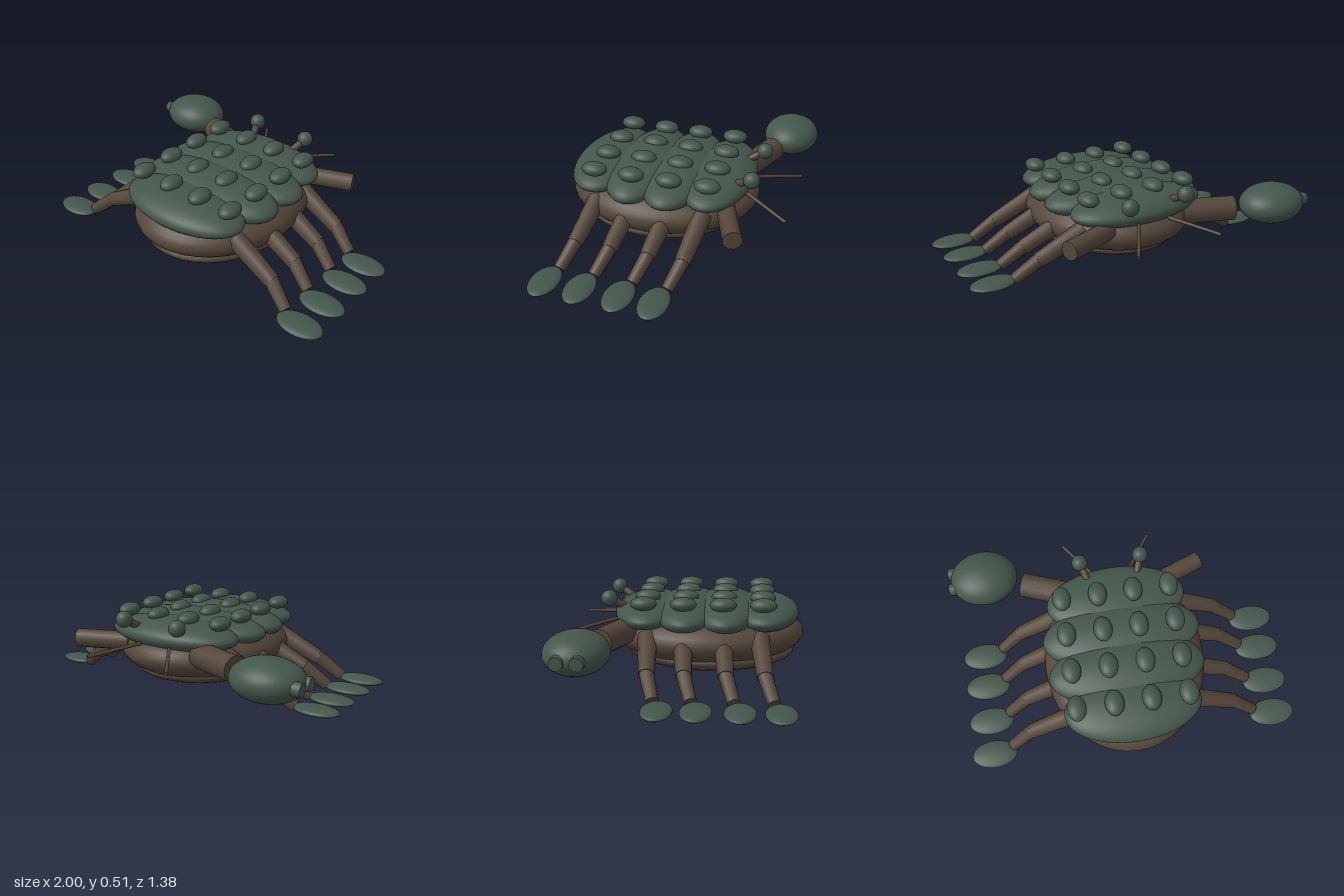
import * as THREE from 'three';

const shellGreen = new THREE.MeshStandardMaterial({ color: 0x44564c });
shellGreen.name = 'shell green';
const bodyBrown = new THREE.MeshStandardMaterial({ color: 0x55463a });
bodyBrown.name = 'body brown';

const ball = new THREE.SphereGeometry(1, 40, 24);
const smallBall = new THREE.SphereGeometry(1, 24, 16);
const UP = new THREE.Vector3(0, 1, 0);

function ellipsoid(name, material, [x, y, z], [rx, ry, rz], geometry = smallBall) {
  const mesh = new THREE.Mesh(geometry, material);
  mesh.name = name;
  mesh.position.set(x, y, z);
  mesh.scale.set(rx, ry, rz);
  return mesh;
}

// Round rod from point a (radius ra) to point b (radius rb)
function rod(name, material, a, b, ra, rb, sides = 12) {
  const start = new THREE.Vector3(...a);
  const end = new THREE.Vector3(...b);
  const dir = end.clone().sub(start);
  const mesh = new THREE.Mesh(new THREE.CylinderGeometry(rb, ra, dir.length(), sides), material);
  mesh.name = name;
  mesh.position.copy(start).add(end).multiplyScalar(0.5);
  mesh.quaternion.setFromUnitVectors(UP, dir.normalize());
  return mesh;
}

export function createModel() {
  const model = new THREE.Group();
  model.name = 'crab';

  // Body and belly
  model.add(ellipsoid('body', bodyBrown, [0, 0.25, 0.115], [0.48, 0.18, 0.575], ball));
  model.add(ellipsoid('belly', bodyBrown, [0, 0.145, 0.137], [0.42, 0.1, 0.5], ball));

  // Four overlapping shell plates, each with a row of bumps
  const plates = [
    [-0.225, 0.42, 0.09], [0, 0.47, 0.1], [0.225, 0.46, 0.105], [0.45, 0.4, 0.09],
  ];
  plates.forEach(([z, rx, ry]) => {
    model.add(ellipsoid('shellPlate', shellGreen, [0, 0.37, z], [rx, ry, 0.21], ball));
    for (const x of [-0.322, -0.107, 0.107, 0.322]) {
      model.add(ellipsoid('shellBump', shellGreen, [x, 0.467, z - 0.008], [0.056, 0.04, 0.076]));
    }
  });

  for (const s of [-1, 1]) {
    // Eyes on stalks, and antennae
    model.add(rod('eyeStalk', bodyBrown, [s * 0.15, 0.41, -0.355], [s * 0.185, 0.465, -0.45], 0.022, 0.022));
    model.add(ellipsoid('eye', shellGreen, [s * 0.185, 0.467, -0.452], [0.048, 0.048, 0.048]));
    model.add(rod('antenna', bodyBrown, [s * 0.1, 0.33, -0.41], [s * 0.272, 0.285, -0.672], 0.011, 0.01, 8));

    // Four walking legs on each side
    for (const z of [-0.1, 0.1, 0.325, 0.533]) {
      const hip = [s * 0.34, 0.28, z - 0.11];
      const knee = [s * 0.62, 0.145, z - 0.08];
      const ankle = [s * 0.745, 0.045, z - 0.035];
      const leg = new THREE.Group();
      leg.name = 'leg';
      leg.add(rod('upperLeg', bodyBrown, hip, knee, 0.057, 0.045));
      leg.add(rod('lowerLeg', bodyBrown, [s * 0.6, 0.16, z - 0.085], ankle, 0.042, 0.035));
      leg.add(ellipsoid('foot', shellGreen, [s * 0.86, 0.034, z], [0.137, 0.025, 0.084]));
      model.add(leg);
    }
  }

  // Claw arms: a slim one on the left, a thick one on the right
  model.add(rod('leftClawArm', bodyBrown, [0.25, 0.3, -0.325], [0.556, 0.3, -0.44], 0.055, 0.055));
  model.add(rod('rightClawArm', bodyBrown, [-0.25, 0.3, -0.325], [-0.55, 0.3, -0.44], 0.075, 0.075));

  // Large claw with two stubby fingers
  const claw = new THREE.Group();
  claw.name = 'largeClaw';
  claw.add(ellipsoid('clawPalm', shellGreen, [-0.782, 0.312, -0.515], [0.205, 0.115, 0.175], ball));
  for (const z of [-0.57, -0.468]) {
    claw.add(rod('clawFinger', shellGreen, [-0.88, 0.312, z], [-1, 0.312, z], 0.045, 0.037, 10));
  }
  model.add(claw);

  return model;
}
